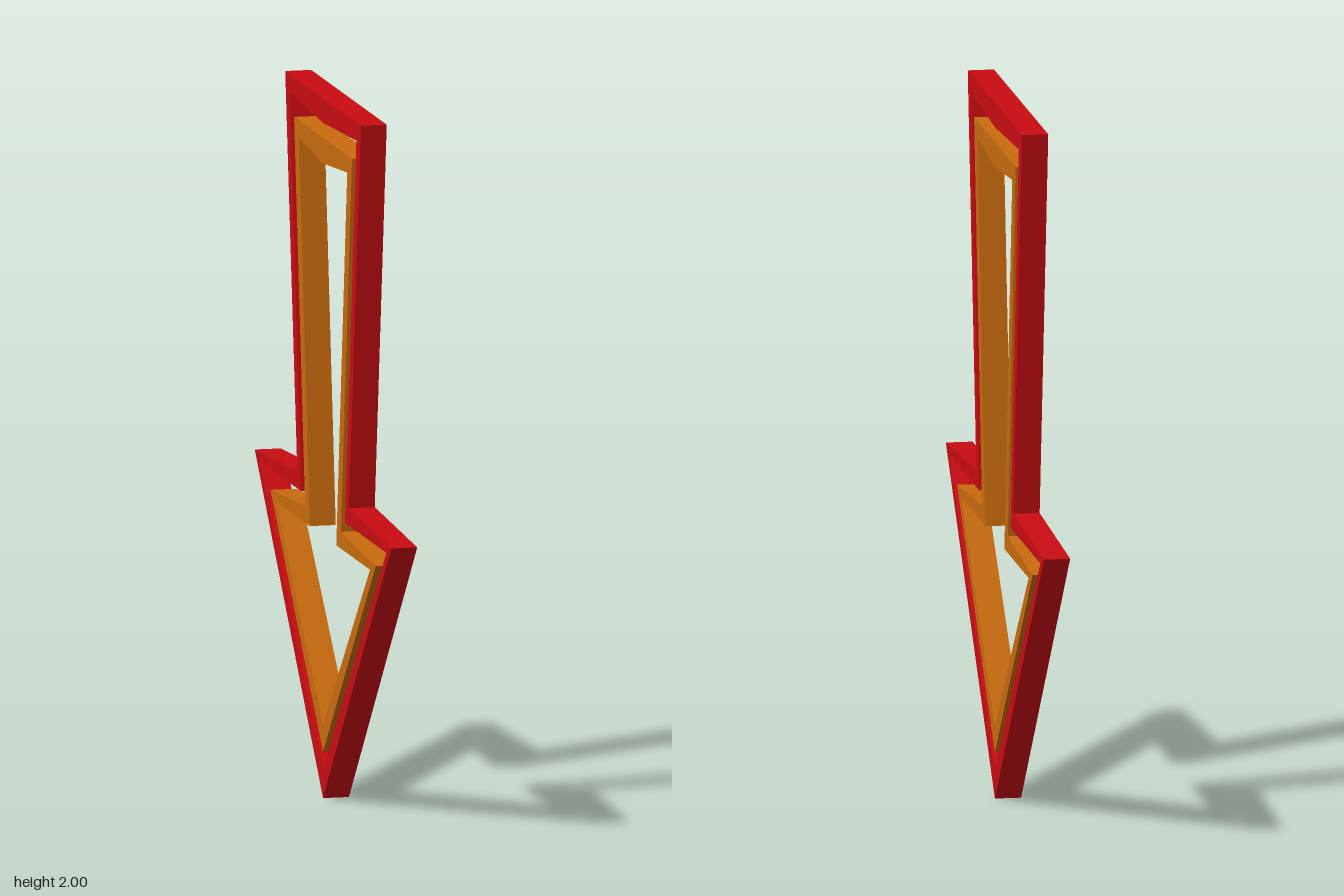
import * as THREE from 'three';

const DEPTH = 0.075;

// Closed arrow outline from its half profile [z, y], mirrored about the centre line
function outline(half) {
  const mirrored = half.filter(([z]) => z > 0).reverse().map(([z, y]) => [-z, y]);
  return [...half, ...mirrored].map(([z, y]) => new THREE.Vector2(z, y));
}

// Hollow arrow frame, extruded and turned to lie in the YZ plane
function arrowFrame(name, color, outer, inner) {
  const shape = new THREE.Shape(outline(outer));
  shape.holes.push(new THREE.Path(outline(inner)));
  const geometry = new THREE.ExtrudeGeometry(shape, { depth: DEPTH, bevelEnabled: false });
  geometry.translate(0, 0, -DEPTH / 2);
  geometry.rotateY(Math.PI / 2);
  const mesh = new THREE.Mesh(geometry, new THREE.MeshStandardMaterial({ color, flatShading: true }));
  mesh.name = name;
  return mesh;
}

export function createModel() {
  const group = new THREE.Group();
  group.name = 'arrowSign';

  // Half profiles run from the bottom point up to the middle of the top bar
  group.add(arrowFrame('outerFrame', 0xc80c12,
    [[0, 0], [0.826, 0.855], [0.312, 0.882], [0.457, 2], [0, 2]],
    [[0, 0.082], [0.765, 0.832], [0.265, 0.832], [0.403, 1.948], [0, 1.93]]));

  group.add(arrowFrame('innerFrame', 0xc86a0e,
    [[0, 0.132], [0.637, 0.772], [0.217, 0.798], [0.35, 1.887], [0, 1.887]],
    [[0, 0.21], [0.568, 0.75], [0.16, 0.75], [0.292, 1.838], [0, 1.814]]));

  return group;
}
